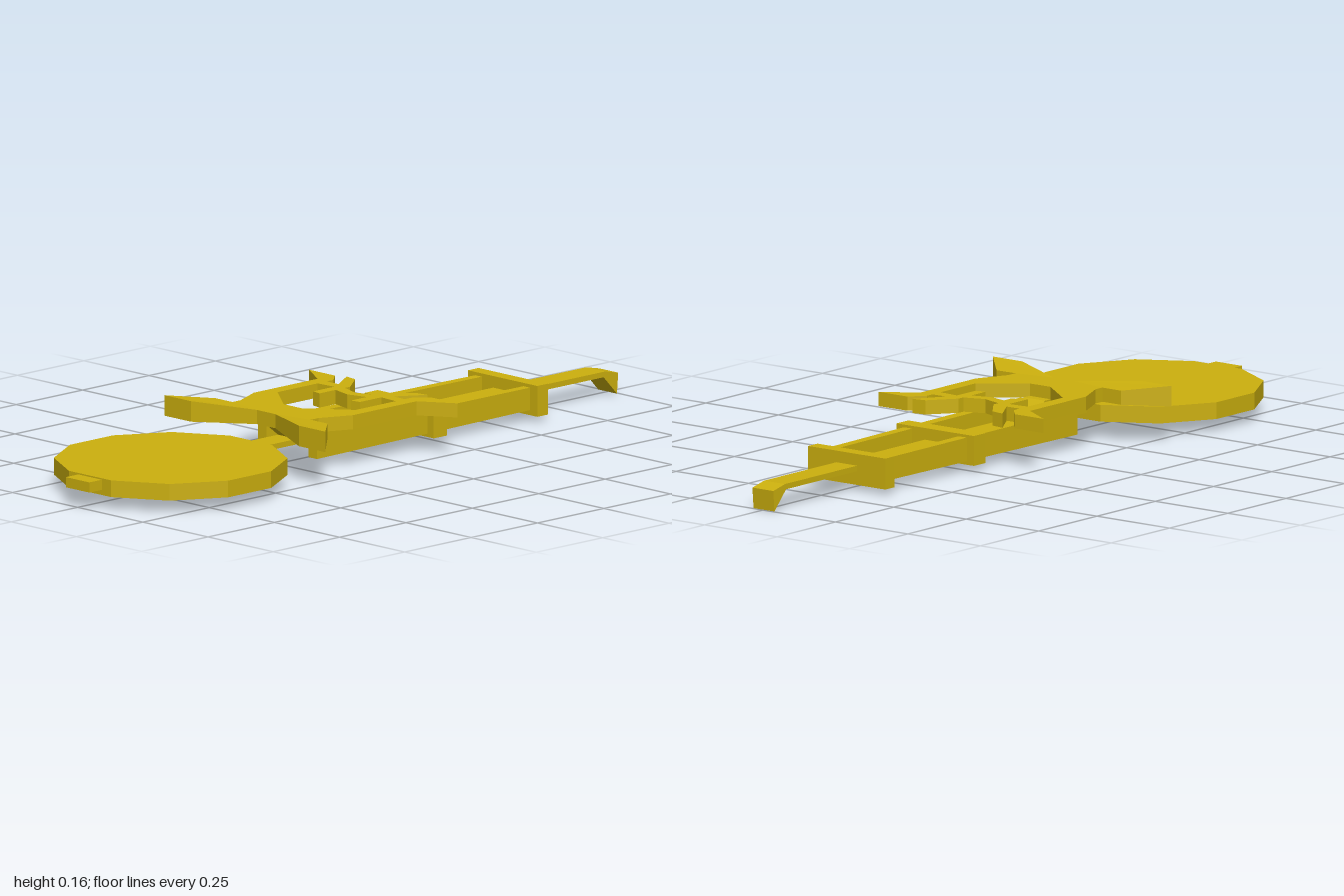
import * as THREE from 'three';

export function createModel() {
  const group = new THREE.Group();
  const gold = new THREE.MeshStandardMaterial({ color: 0xccb00e, flatShading: true });
  gold.name = 'gold';

  const add = (name, geometry) => {
    const mesh = new THREE.Mesh(geometry, gold);
    mesh.name = name;
    group.add(mesh);
    return mesh;
  };
  // Box given by its limits on each axis
  const box = (x0, x1, y0, y1, z0, z1) =>
    new THREE.BoxGeometry(x1 - x0, y1 - y0, z1 - z0)
      .translate((x0 + x1) / 2, (y0 + y1) / 2, (z0 + z1) / 2);
  const shapeOf = (pts) => new THREE.Shape(pts.map(([a, b]) => new THREE.Vector2(a, b)));
  // Half outline (x, z) mirrored over z = 0 and raised between two heights
  const plate = (half, y0, y1) => {
    const mirrored = half.map(([x, z]) => [x, -z]).reverse();
    return new THREE.ExtrudeGeometry(shapeOf([...half, ...mirrored]), { depth: y1 - y0, bevelEnabled: false })
      .rotateX(Math.PI / 2).translate(0, y1, 0);
  };
  // Side profile (x, y) extruded across the width
  const profile = (pts, halfWidth) =>
    new THREE.ExtrudeGeometry(shapeOf(pts), { depth: halfWidth * 2, bevelEnabled: false })
      .translate(0, 0, -halfWidth);
  // Move every vertex by a rule
  const warp = (geometry, rule) => {
    const p = geometry.attributes.position;
    const v = new THREE.Vector3();
    for (let i = 0; i < p.count; i++) {
      rule(v.fromBufferAttribute(p, i));
      p.setXYZ(i, v.x, v.y, v.z);
    }
    geometry.computeVertexNormals();
    return geometry;
  };

  // Twelve-sided disc with a small end tab
  add('disc', new THREE.CylinderGeometry(0.314, 0.314, 0.046, 12)
    .rotateY(Math.PI / 12).translate(-0.65, 0.057, 0));
  add('endTab', box(-1, -0.94, 0.048, 0.076, -0.045, 0.045));

  // Central rod ending in a downward hook
  add('rodAndHook', profile([
    [-0.37, 0.053], [0.945, 0.053], [0.995, 0], [1, 0.057], [0.95, 0.068], [-0.37, 0.068],
  ], 0.036));

  // Side rails, slightly tapered towards the hook
  for (const side of [1, -1]) {
    const rail = warp(box(-0.21, 0.62, 0.025, 0.095, 0.08, 0.113), (v) => {
      if (v.x > 0) {
        v.y = 0.06 + (v.y - 0.06) * 0.88;
        v.z = Math.min(v.z, 0.105);
      }
    });
    if (side < 0) rail.rotateX(Math.PI).translate(0, 0.12, 0);
    add(side > 0 ? 'leftRail' : 'rightRail', rail);
  }

  // Cross clamps over the rails
  add('middleClamp', box(0.21, 0.26, 0.018, 0.1, -0.133, 0.133));
  add('endClamp', box(0.6, 0.64, 0.015, 0.1, -0.133, 0.133));

  // Sloping post lifting the fork off the rod
  add('forkPost', profile([
    [-0.2, 0.06], [-0.09, 0.06], [-0.165, 0.115], [-0.27, 0.115],
  ], 0.036));

  // Two-pronged fork with flared tail wings
  const fork = plate([
    [-0.29, 0.035], [-0.37, 0.207], [-0.37, 0.308], [-0.27, 0.215], [-0.27, 0.15],
    [-0.24, 0.15], [-0.15, 0.19], [0.09, 0.19], [0.15, 0.285], [0.15, 0.185],
    [0.11, 0.15], [-0.1, 0.15], [-0.19, 0.035],
  ], 0.11, 0.149);
  add('fork', warp(fork, (v) => {
    if (v.x < -0.35) v.y = 0.129 + (v.y - 0.129) * 1.45;
  }));

  // Small branching bridge between the prongs
  add('bridge', plate([
    [0.015, 0], [0.03, 0.06], [-0.03, 0.06], [-0.025, 0.09], [0.055, 0.09],
    [0.05, 0.155], [0.085, 0.155], [0.085, 0.105], [0.165, 0.155], [0.158, 0.115],
    [0.085, 0.06], [0.065, 0.06], [0.045, 0],
  ].filter(([, z], i) => i >= 0 && z >= 0).map(([x, z]) => [x, Math.max(z, 0.0005)]), 0.11, 0.149));

  return group;
}
